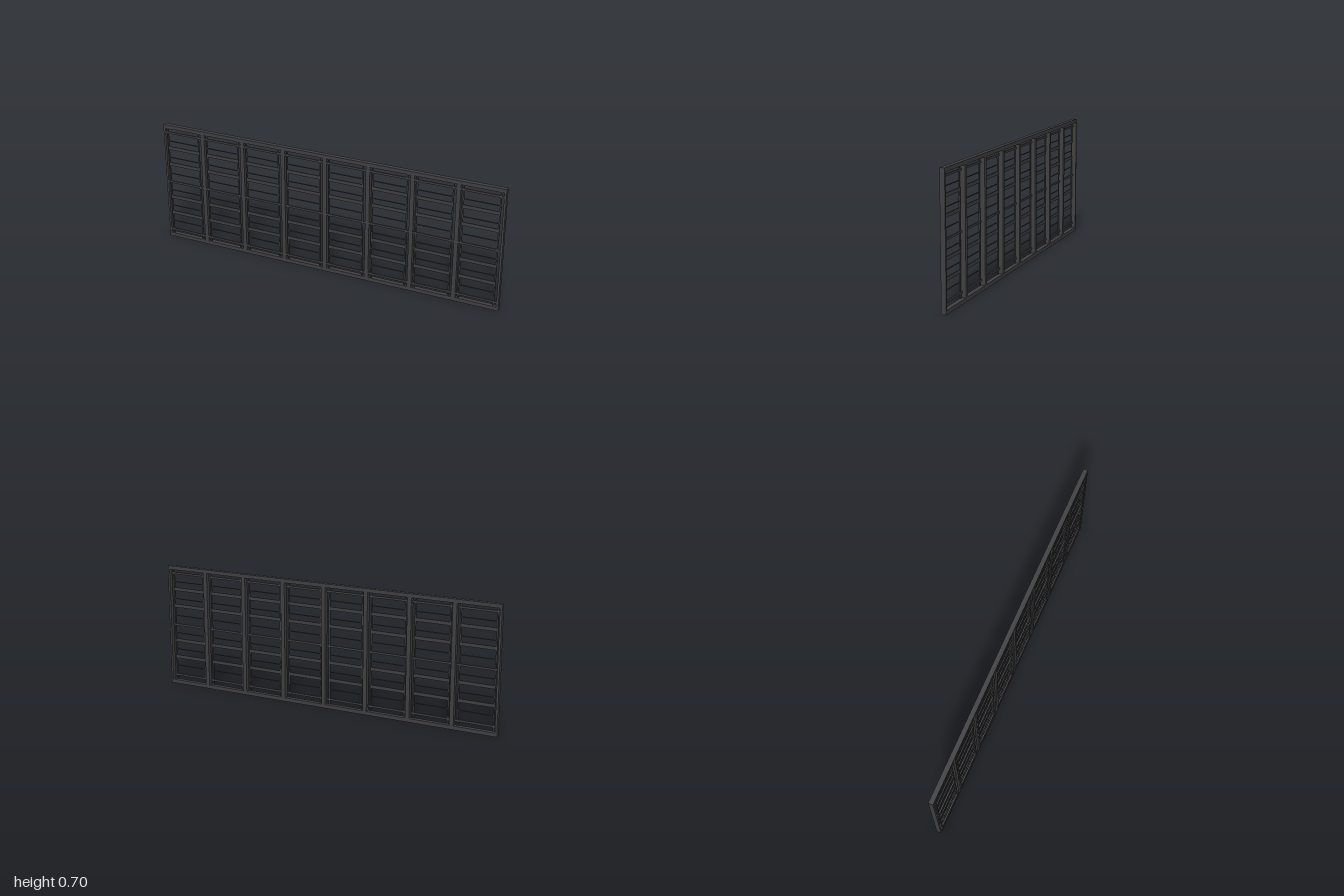
import * as THREE from 'three';

const LENGTH = 2.0, HEIGHT = 0.698, DEPTH = 0.026, BAYS = 8;
const PITCH = LENGTH / BAYS;
const POST = 0.0115, GAP = 0.012, STILE = 0.007, RAIL = 0.021;

export function createModel() {
  const model = new THREE.Group();
  model.name = 'fencePanel';
  const material = new THREE.MeshStandardMaterial({ color: 0x404042 });

  // A box whose front is flush with the front of the panel
  function bar(name, w, h, d, x, y) {
    const mesh = new THREE.Mesh(new THREE.BoxGeometry(w, h, d), material);
    mesh.name = name;
    mesh.position.set(x, y, (DEPTH - d) / 2);
    model.add(mesh);
  }

  // Outer frame rails
  bar('bottomRail', LENGTH, RAIL, DEPTH, 0, RAIL / 2);
  bar('topRail', LENGTH, RAIL, DEPTH, 0, HEIGHT - RAIL / 2);

  const innerHeight = HEIGHT - 2 * RAIL;
  const openWidth = PITCH - 2 * POST;
  const slatWidth = openWidth - 2 * (GAP + STILE);

  for (let i = 0; i < BAYS; i++) {
    const x = -LENGTH / 2 + (i + 0.5) * PITCH;

    // Deep half posts at the bay edges, slim stiles just inside them
    for (const side of [-1, 1]) {
      bar('post', POST, innerHeight, DEPTH, x + side * (PITCH - POST) / 2, HEIGHT / 2);
      bar('stile', STILE, innerHeight, 0.006, x + side * (slatWidth + STILE) / 2, HEIGHT / 2);
    }

    // Cross rails from post to post, slats between the stiles
    for (const y of [0.048, 0.351, 0.654]) bar('crossRail', openWidth, 0.011, 0.008, x, y);
    for (const y of [0.158, 0.257, 0.462, 0.56]) bar('thickSlat', slatWidth, 0.019, 0.006, x, y);
    for (const y of [0.104, 0.203, 0.3, 0.404, 0.503, 0.603]) bar('thinSlat', slatWidth, 0.005, 0.004, x, y);
  }

  // The panel stands slightly turned
  model.rotation.y = 0.0455;
  return model;
}
